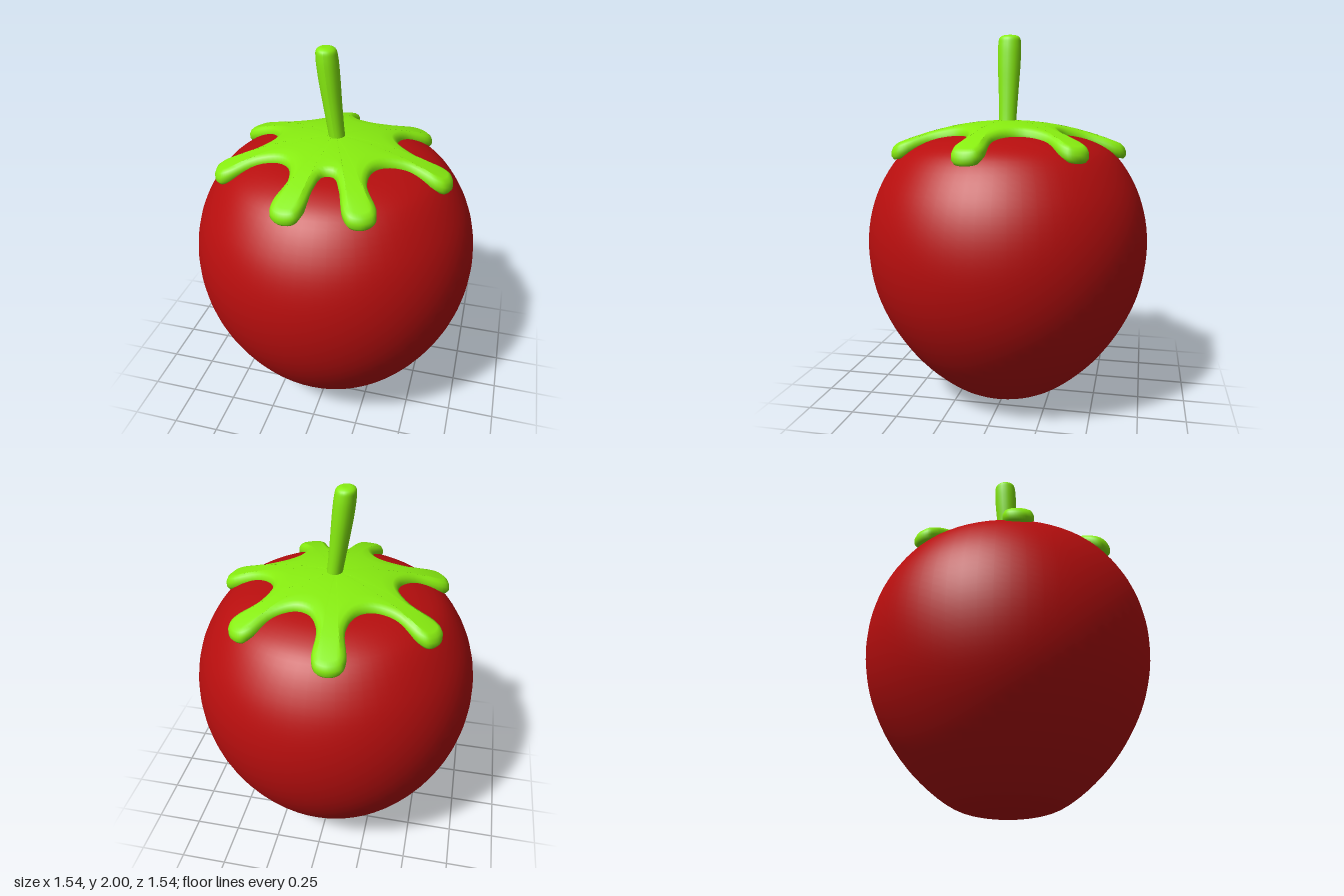
import * as THREE from 'three';

const rad = THREE.MathUtils.degToRad;
const red = new THREE.MeshStandardMaterial({ color: 0xb80e0e });
const green = new THREE.MeshStandardMaterial({ color: 0x88ee10 });

function addMesh(group, name, geometry, material) {
  const mesh = new THREE.Mesh(geometry, material);
  mesh.name = name;
  group.add(mesh);
}

// Smooth lathe through a few [radius, height] points
function smoothLathe(points, divisions, segments) {
  const curve = new THREE.CatmullRomCurve3(points.map(([x, y]) => new THREE.Vector3(x, y, 0)));
  const profile = curve.getPoints(divisions).map((p) => new THREE.Vector2(Math.max(p.x, 0), p.y));
  return new THREE.LatheGeometry(profile, segments);
}

// Outline of the leafy cap: seven radial lobes with slightly flared, rounded tips
function capOutline() {
  const lobes = [[-98.3, 0.645], [-46.5, 0.62], [8, 0.632], [64, 0.635], [99, 0.633], [153, 0.635], [207, 0.635]];
  const pts = [];
  lobes.forEach(([deg, len], i) => {
    const a = rad(deg);
    const next = i < lobes.length - 1 ? lobes[i + 1][0] : lobes[0][0] + 360;
    const add = (r, w, ang = a) => pts.push(new THREE.Vector3(
      r * Math.cos(ang) - w * Math.sin(ang), 0, r * Math.sin(ang) + w * Math.cos(ang)));
    const side = [[0.42, 0.068], [len - 0.07, 0.08], [len - 0.02, 0.06]];
    side.forEach(([r, w]) => add(r, -w));
    add(len, 0);
    side.reverse().forEach(([r, w]) => add(r, w));
    // Valley before the next lobe
    for (const s of [-0.13, 0.13]) add(0.335, 0, rad((deg + next) / 2 + s * (next - deg)));
  });
  return new THREE.CatmullRomCurve3(pts, true);
}

// Domed cap: rings of [scale, inset, drop] from the top centre, over the rounded rim, to the underside
function capGeometry() {
  const n = 280;
  const curve = capOutline();
  const rings = [0, 0.2, 0.4, 0.6, 0.8, 1].map((s) => [s, 0.03, 0]);
  rings.push([1, 0.01, 0.01], [1, 0, 0.03], [1, 0, 0.055], [1, 0.012, 0.075], [1, 0.035, 0.082], [0.6, 0.035, 0.082], [0, 0, 0.082]);
  const rim = [];
  for (let i = 0; i < n; i++) {
    rim.push([curve.getPoint(i / n), curve.getTangent(i / n)]);
  }
  const pos = [], index = [];
  rings.forEach(([scale, inset, drop], j) => {
    rim.forEach(([p, t], i) => {
      const x = scale * (p.x - inset * t.z);
      const z = scale * (p.z + inset * t.x);
      pos.push(x, 1.545 - 0.33 * (x * x + z * z) - drop, z);
      if (j === rings.length - 1) return;
      const a = j * n + i, b = j * n + (i + 1) % n;
      index.push(a, b, a + n, b, b + n, a + n);
    });
  });
  const geo = new THREE.BufferGeometry();
  geo.setAttribute('position', new THREE.Float32BufferAttribute(pos, 3));
  geo.setIndex(index);
  geo.computeVertexNormals();
  return geo;
}

// Stem: slim rounded post, widening upwards and leaning to -x
function stemGeometry() {
  const geo = smoothLathe([[0.042, 1.46], [0.042, 1.55], [0.048, 1.7], [0.055, 1.85],
    [0.055, 1.95], [0.049, 1.985], [0.03, 1.998], [0, 2]], 40, 20);
  const p = geo.attributes.position;
  for (let i = 0; i < p.count; i++) {
    const t = (p.getY(i) - 1.5) / 0.5;
    p.setX(i, p.getX(i) + 0.012 - 0.075 * t + 0.012 * t * t);
    p.setZ(i, p.getZ(i) * 1.14);
  }
  geo.computeVertexNormals();
  return geo;
}

export function createModel() {
  const model = new THREE.Group();
  model.name = 'tomato';

  // Round fruit, tapering to a small flat base
  const fruit = smoothLathe([[0, 0], [0.12, 0.003], [0.28, 0.045], [0.49, 0.21], [0.64, 0.41], [0.73, 0.61],
    [0.768, 0.82], [0.755, 1.02], [0.695, 1.2], [0.58, 1.365], [0.46, 1.435], [0.3, 1.472], [0, 1.485]], 60, 64);
  addMesh(model, 'fruit', fruit, red);
  addMesh(model, 'leafCap', capGeometry(), green);
  addMesh(model, 'stem', stemGeometry(), green);
  return model;
}
